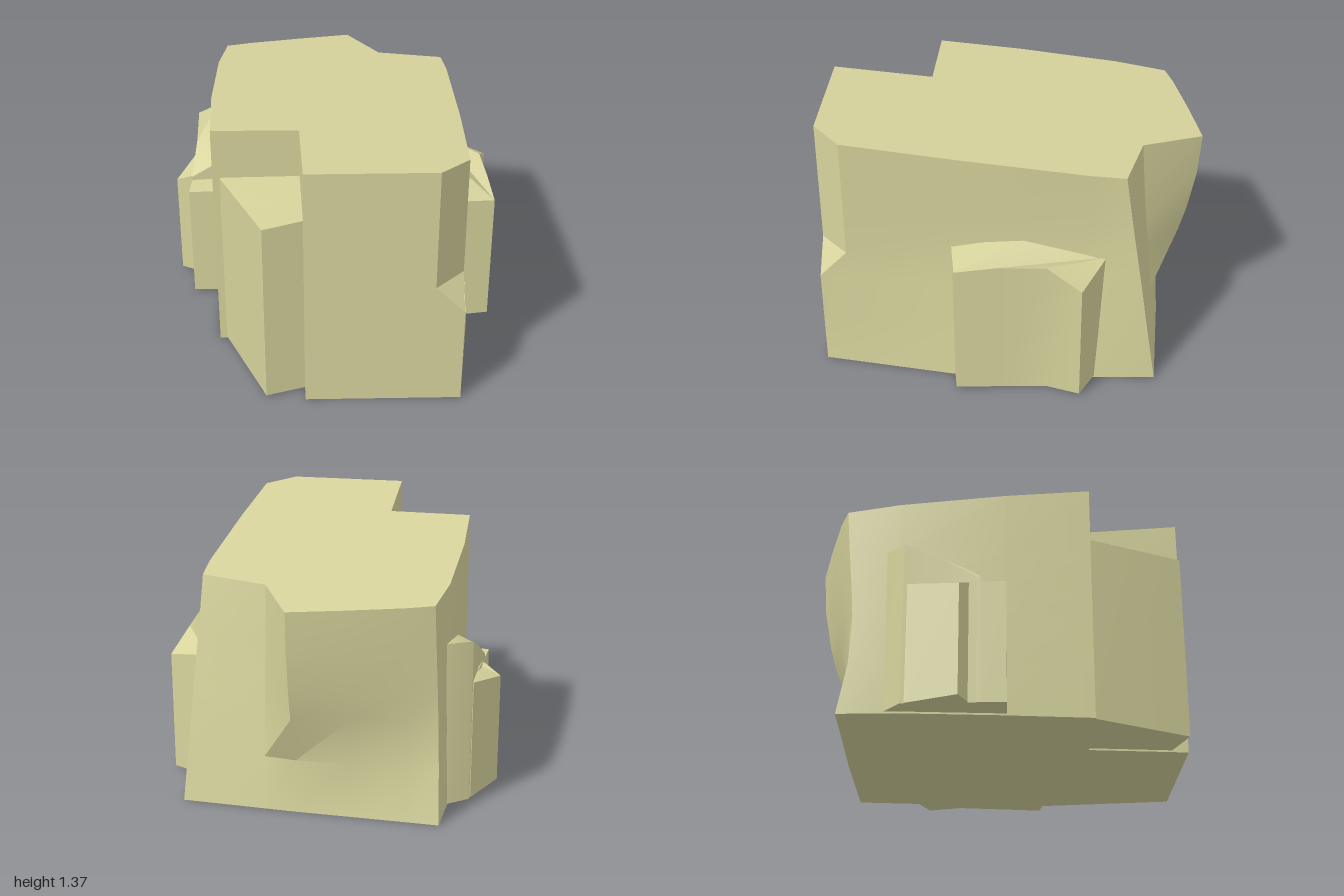
import * as THREE from 'three';
import { toCreasedNormals } from 'three/addons/utils/BufferGeometryUtils.js';

// Closed solid through rings of [x, y, z] points, bottom to top, counter-clockwise from above
function loft(rings) {
  const n = rings[0].length;
  const index = [];
  for (let r = 0; r < rings.length - 1; r++) {
    for (let i = 0; i < n; i++) {
      const a = r * n + i, b = r * n + (i + 1) % n;
      index.push(a, b, b + n, a, b + n, a + n);
    }
  }
  const cap = (ring) => THREE.ShapeUtils.triangulateShape(ring.map(([x, , z]) => new THREE.Vector2(x, -z)), []);
  for (const [a, b, c] of cap(rings[0])) index.push(a, c, b);
  const last = (rings.length - 1) * n;
  for (const [a, b, c] of cap(rings[rings.length - 1])) index.push(last + a, last + b, last + c);
  const geometry = new THREE.BufferGeometry();
  geometry.setAttribute('position', new THREE.Float32BufferAttribute(rings.flat(2), 3));
  geometry.setIndex(index);
  return toCreasedNormals(geometry, 0.45);
}

// Solid standing on the ground below a ring of top points
const column = (top) => loft([top.map(([x, , z]) => [x, 0.01, z]), top]);

const mix = THREE.MathUtils.lerp;
const roofHeight = (z) => 1.258 + 0.11 * z;

// Outline of the main body at a given height; null height means the sloping roof
function bodyRing({ y, chamfer, t, overhang, notch, corner }) {
  const outline = [
    [-0.175, 0.99],
    [mix(0.63, 0.48, chamfer), 0.995],
    [0.632, mix(0.995, 0.85, chamfer)],
    [mix(0.74, 0.645, Math.min(1, t * 1.6)), 0.3],
    [mix(0.735, 0.645, Math.min(1, t * 1.6)), -0.4],
    [mix(0.72, 0.63, t), mix(-0.78, -0.59, t)],
    [0.28, notch],
    [0.11, overhang],
    [-0.18, mix(overhang, corner, 0.35)],
    [-0.47, mix(overhang, corner, 0.75)],
    [mix(-0.64, -0.6, t), corner],
    [mix(-0.66, -0.64, t), -0.55],
    [-0.655, 0],
    [-0.64, 0.45],
    [-0.19, 0.46],
  ];
  return outline.map(([x, z]) => [x, y ?? roofHeight(z), z]);
}

export function createModel() {
  const group = new THREE.Group();
  const sand = new THREE.MeshStandardMaterial({ color: 0xd6d39c });
  sand.name = 'pale sand';
  const add = (name, geometry) => {
    const mesh = new THREE.Mesh(geometry, sand);
    mesh.name = name;
    group.add(mesh);
  };

  // Main block: chamfered front corner, sloping roof and overhanging back
  add('mainBlock', loft([
    { y: 0, chamfer: 0, t: 0, overhang: -0.815, notch: -0.805, corner: -0.84 },
    { y: 0.28, chamfer: 0, t: 0.24, overhang: -0.79, notch: -0.765, corner: -0.79 },
    { y: 0.55, chamfer: 0, t: 0.46, overhang: -0.905, notch: -0.74, corner: -0.78 },
    { y: 0.7, chamfer: 1, t: 0.59, overhang: -0.945, notch: -0.72, corner: -0.79 },
    { y: 0.92, chamfer: 1, t: 0.78, overhang: -0.985, notch: -0.7, corner: -0.81 },
    { y: null, chamfer: 1, t: 1, overhang: -1, notch: -0.68, corner: -0.83 },
  ].map(bodyRing)));

  // Lower step in the front corner
  add('frontStep', column([
    [-0.17, 1.05, 0.9], [-0.17, 1.04, 0.4], [-0.62, 1.03, 0.4], [-0.6, 1.03, 0.46], [-0.38, 1.04, 0.965],
  ]));

  // Arched buttress on the left side
  add('leftButtress', column([
    [0.6, 0.77, 0.305], [0.86, 0.755, 0.27], [0.845, 0.78, 0.05], [0.83, 0.775, -0.2], [0.885, 0.67, -0.38],
    [0.64, 0.72, -0.505], [0.6, 0.79, -0.36], [0.6, 0.83, -0.15], [0.6, 0.81, 0.1],
  ]));

  // Clustered buttresses on the right side
  add('rightFrontButtress', column([
    [-0.6, 0.68, 0.01], [-0.6, 0.68, -0.3], [-0.78, 0.67, -0.3], [-0.795, 0.67, -0.12], [-0.805, 0.67, 0],
  ]));
  add('rightTallButtress', column([
    [-0.6, 0.81, -0.13], [-0.6, 0.9, -0.63], [-0.66, 0.9, -0.6], [-0.765, 0.89, -0.52], [-0.77, 0.81, -0.33], [-0.795, 0.69, -0.13],
  ]));
  add('rightOuterButtress', column([
    [-0.7, 0.68, -0.2], [-0.7, 0.68, -0.52], [-0.77, 0.66, -0.5], [-0.89, 0.61, -0.24], [-0.8, 0.66, -0.19],
  ]));

  return group;
}
